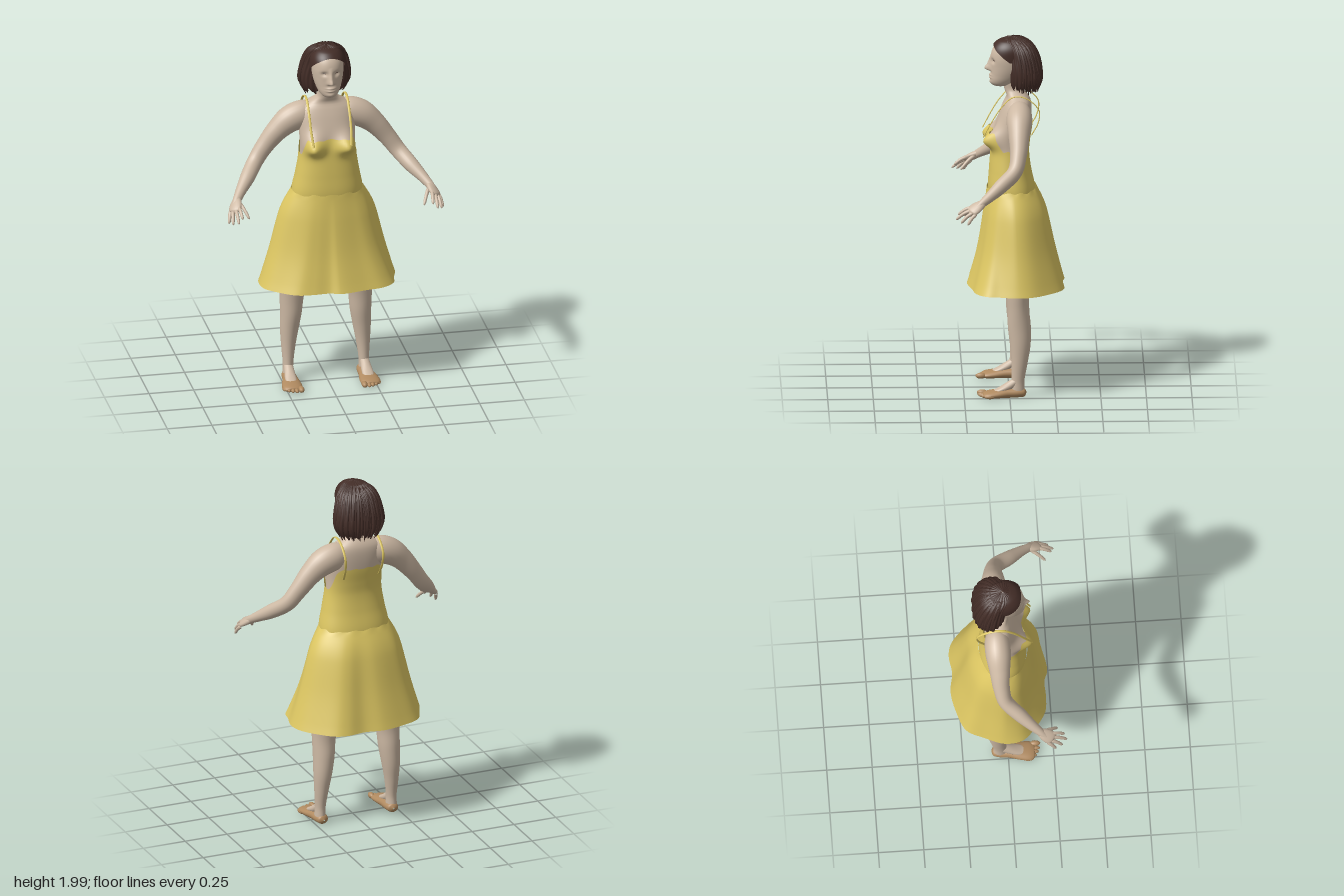
import * as THREE from 'three';

const mat = (name, color, side = THREE.FrontSide) => {
  const m = new THREE.MeshStandardMaterial({ color, side });
  m.name = name;
  return m;
};
const V = (x, y, z) => new THREE.Vector3(x, y, z);
const spow = (a, p) => Math.sign(a) * Math.abs(a) ** p;
const bell = (d, w) => Math.exp(-(d * d) / (w * w));
const step = THREE.MathUtils.smoothstep;
const mix = THREE.MathUtils.lerp;

// Smooth lookup in rows of [key, a, b, ...] with rising keys
function look(rows, k) {
  const n = rows.length - 1;
  let i = 0;
  while (i < n - 1 && k > rows[i + 1][0]) i++;
  const h = rows[i + 1][0] - rows[i][0];
  const t = THREE.MathUtils.clamp((k - rows[i][0]) / h, 0, 1);
  const slope = (j, c) => {
    const a = rows[Math.max(j - 1, 0)], b = rows[Math.min(j + 1, n)];
    return (b[c] - a[c]) / (b[0] - a[0]);
  };
  return rows[i].slice(1).map((p, c) => {
    const q = rows[i + 1][c + 1], t2 = t * t, t3 = t2 * t;
    return p * (2 * t3 - 3 * t2 + 1) + q * (3 * t2 - 2 * t3)
      + h * (slope(i, c + 1) * (t3 - 2 * t2 + t) + slope(i + 1, c + 1) * (t3 - t2));
  });
}

// Surface closed around u; P(u, v) gives a point, both from 0 to 1
function surface(P, nu, nv) {
  const pos = [], idx = [];
  for (let j = 0; j <= nv; j++) {
    for (let i = 0; i < nu; i++) pos.push(...P(i / nu, j / nv).toArray());
  }
  for (let j = 0; j < nv; j++) {
    for (let i = 0; i < nu; i++) {
      const a = j * nu + i, b = j * nu + (i + 1) % nu, c = a + nu, d = b + nu;
      idx.push(a, c, b, b, c, d);
    }
  }
  const g = new THREE.BufferGeometry();
  g.setAttribute('position', new THREE.Float32BufferAttribute(pos, 3));
  g.setIndex(idx);
  g.computeVertexNormals();
  return g;
}

// Tapered limb through rows of [x, y, z, radius along ref, other radius]
function limb(rows, ref, nu = 20, nv = 30, floor = -1) {
  const path = new THREE.CatmullRomCurve3(rows.map(r => V(r[0], r[1], r[2])));
  const size = new THREE.CatmullRomCurve3(rows.map((r, i) => V(r[3], r[4] ?? r[3], i)));
  return surface((u, v) => {
    const p = path.getPoint(v), T = path.getTangent(v), r = size.getPoint(v), a = u * 2 * Math.PI;
    const N = ref.clone().addScaledVector(T, -ref.dot(T)).normalize();
    const B = N.clone().cross(T);
    p.addScaledVector(N, Math.cos(a) * Math.max(r.x, 0)).addScaledVector(B, Math.sin(a) * Math.max(r.y, 0));
    p.y = Math.max(p.y, floor);
    return p;
  }, nu, nv);
}

// Rows of [y, half width, front z, back z]
const TORSO = [[0.86, 0.02, -0.01, -0.05], [0.9, 0.13, 0.05, -0.11], [1.0, 0.185, 0.085, -0.14],
  [1.14, 0.188, 0.105, -0.135], [1.25, 0.168, 0.1, -0.113], [1.35, 0.152, 0.092, -0.102],
  [1.42, 0.15, 0.085, -0.108], [1.5, 0.155, 0.07, -0.12], [1.58, 0.158, 0.045, -0.125],
  [1.63, 0.14, 0.025, -0.12], [1.66, 0.095, 0.012, -0.105], [1.69, 0.056, 0.022, -0.08],
  [1.74, 0.05, 0.035, -0.07], [1.78, 0.05, 0.035, -0.07]];
const HEAD = [[1.712, 0.008, 0.07, 0.02], [1.722, 0.038, 0.09, -0.02], [1.745, 0.058, 0.102, -0.05],
  [1.785, 0.074, 0.1, -0.08], [1.83, 0.084, 0.099, -0.1], [1.88, 0.088, 0.1, -0.11],
  [1.93, 0.082, 0.086, -0.105], [1.965, 0.058, 0.055, -0.075], [1.98, 0.028, 0.02, -0.04], [1.985, 0.002, -0.01, -0.014]];
const HAIR = [[1.69, 0.1, -0.02, -0.155], [1.74, 0.127, -0.005, -0.172], [1.8, 0.136, 0, -0.174],
  [1.88, 0.12, 0.005, -0.158], [1.94, 0.099, 0.015, -0.13], [1.975, 0.07, 0.03, -0.1],
  [1.99, 0.035, 0.015, -0.06], [1.996, 0.003, -0.015, -0.02]];
const NOSE = [[1.797, 0], [1.812, 0.035], [1.84, 0.021], [1.87, 0.007], [1.9, 0]];

function ring(rows, a, y, off, pw) {
  const [rx, zf, zb] = look(rows, y);
  return V((rx + off) * spow(Math.cos(a), pw), y, (zf + zb) / 2 + ((zf - zb) / 2 + off) * spow(Math.sin(a), pw));
}
function torsoAt(a, y, off = 0) {
  const p = ring(TORSO, a, y, off, 0.85);
  if (Math.sin(a) > 0) {
    const d = bell(Math.abs(p.x) - 0.092, 0.052) * bell(y - 1.425, y > 1.425 ? 0.06 : 0.042) * Math.sqrt(Math.sin(a));
    p.z += 0.066 * d;
    p.x += Math.sign(p.x) * 0.012 * d;
  }
  return p;
}
function headAt(a, y, off = 0) {
  const p = ring(HEAD, a, y, off, 0.95);
  if (Math.sin(a) > 0) {
    const x = Math.abs(p.x);
    if (y > 1.797 && y < 1.9) p.z += look(NOSE, y)[0] * bell(x, 0.009 + (1.9 - y) * 0.07);
    p.z -= 0.012 * bell(x - 0.034, 0.018) * bell(y - 1.862, 0.014);
    p.z += 0.009 * bell(x, 0.024) * (bell(y - 1.779, 0.006) + bell(y - 1.765, 0.006));
    p.z += 0.006 * bell(x, 0.025) * bell(y - 1.738, 0.012);
  }
  return p;
}

// Hem outline seen from above, [x, z]
const HEM = [[0.385, -0.04], [0.36, 0.06], [0.345, 0.13], [0.28, 0.185], [0.18, 0.205], [0.03, 0.232], [-0.03, 0.212],
  [-0.12, 0.215], [-0.21, 0.205], [-0.3, 0.145], [-0.37, 0.07], [-0.382, -0.03], [-0.34, -0.14], [-0.29, -0.235],
  [-0.18, -0.283], [-0.06, -0.306], [0.05, -0.29], [0.15, -0.302], [0.22, -0.285], [0.31, -0.205], [0.37, -0.12]];
const FLARE = [[0.605, 1], [0.65, 0.92], [0.8, 0.68], [1.0, 0.4], [1.07, 0.25], [1.15, 0]];

export function createModel() {
  const model = new THREE.Group();
  const skin = mat('skin', 0xcdb9a4), hair = mat('hair brown', 0x432d27, THREE.DoubleSide);
  const cloth = mat('dress yellow', 0xdcc662, THREE.DoubleSide), sole = mat('foot brown', 0xb08a60);
  const add = (name, geo, m, parent = model) => {
    const mesh = new THREE.Mesh(geo, m);
    mesh.name = name;
    parent.add(mesh);
    return mesh;
  };
  const X = V(1, 0, 0), Z = V(0, 0, 1), TAU = Math.PI * 2;

  // Body and head
  add('torso', surface((u, v) => torsoAt(u * TAU, mix(0.86, 1.78, v)), 64, 70), skin);
  add('head', surface((u, v) => headAt(u * TAU, mix(1.712, 1.985, v)), 96, 80), skin);

  // Dress: bodice with a low cut at the sides, then the flared skirt
  add('bodice', surface((u, v) => {
    const a = u * TAU, s = Math.sin(a);
    const top = 1.375 + (s > 0 ? 0.095 * step(s, 0.3, 0.72) : 0.135 * step(-s, 0.2, 0.8)) + 0.003 * Math.sin(a * 17);
    return torsoAt(a, mix(1.12, top, v), 0.009);
  }, 96, 36), cloth);
  const hem = new THREE.CatmullRomCurve3(HEM.map(([x, z]) => V(x, 0, z)), true);
  add('skirt', surface((u, v) => {
    const h = hem.getPoint(u), a = Math.atan2((h.z + 0.035) / 0.265, h.x / 0.385);
    const y = mix(0.605, 1.15, v), s = look(FLARE, y)[0];
    const f = s - 0.2 * Math.max(0, Math.sin(a)) * Math.sin(Math.PI * s);
    const top = v === 1 ? 0.004 * Math.sin(a * 13) : 0;
    return V(mix(0.201 * Math.cos(a), h.x, f), y + top, mix(-0.014 + 0.135 * Math.sin(a), h.z, f));
  }, 126, 32), cloth);

  for (const s of [1, -1]) {
    const side = s > 0 ? 'left' : 'right';
    const flip = rows => rows.map(([x, ...r]) => [x * s, ...r]);
    const group = name => {
      const g = new THREE.Group();
      g.name = side + name;
      model.add(g);
      return g;
    };

    // Shoulder strap standing off the back
    add(side + 'Strap', limb(flip([[0.105, 1.45, 0.142, 0.007, 0.003], [0.112, 1.53, 0.1, 0.007, 0.003],
      [0.113, 1.62, 0.042, 0.007, 0.003], [0.113, 1.675, -0.02, 0.007, 0.003], [0.113, 1.67, -0.09, 0.007, 0.003],
      [0.113, 1.6, -0.163, 0.007, 0.003], [0.11, 1.53, -0.158, 0.007, 0.003], [0.105, 1.46, -0.122, 0.007, 0.003]]),
    X, 8, 50), cloth);

    // Arm, palm and fingers
    const arm = group('Arm');
    add('arm', limb(flip([[0.07, 1.59, -0.055, 0.05, 0.06], [0.13, 1.578, -0.055, 0.068, 0.078], [0.2, 1.552, -0.053, 0.07, 0.076],
      [0.27, 1.495, -0.05, 0.058, 0.062], [0.345, 1.405, -0.045, 0.046, 0.05], [0.4, 1.33, -0.025, 0.041, 0.045],
      [0.46, 1.265, 0.05, 0.039, 0.041], [0.51, 1.217, 0.115, 0.029, 0.03], [0.54, 1.185, 0.16, 0.022, 0.024],
      [0.555, 1.165, 0.185, 0.018, 0.02]]), Z, 24, 60), skin, arm);
    add('palm', limb(flip([[0.53, 1.198, 0.14, 0.012, 0.01], [0.54, 1.185, 0.16, 0.026, 0.019],
      [0.553, 1.167, 0.19, 0.037, 0.018], [0.565, 1.148, 0.218, 0.034, 0.014], [0.57, 1.14, 0.228, 0.004, 0.003]]),
    V(-0.75 * s, 0.35, 0.55), 16, 20), skin, arm);
    const fingers = [[0.542, 1.166, 0.218, 0.533, 1.122, 0.29], [0.558, 1.152, 0.222, 0.557, 1.1, 0.302],
      [0.574, 1.141, 0.213, 0.584, 1.087, 0.275], [0.584, 1.135, 0.196, 0.6, 1.08, 0.238], [0.532, 1.178, 0.175, 0.489, 1.105, 0.255]];
    for (const [a, b, c, d, e, f] of fingers) {
      const at = (t, r) => [mix(a, d, t), mix(b, e, t) + 0.008 * Math.sin(t * 3.1), mix(c, f, t), r];
      add('finger', limb(flip([at(-0.1, 0.007), at(0.1, 0.0105), at(0.5, 0.0095), at(0.9, 0.0075), at(1, 0.001)]), X, 10, 12), skin, arm);
    }

    // Leg with instep
    const leg = group('Leg');
    add('leg', limb(flip([[0.09, 0.98, -0.03, 0.09, 0.09], [0.125, 0.85, -0.035, 0.098, 0.09], [0.155, 0.73, -0.04, 0.093, 0.08],
      [0.182, 0.6, -0.042, 0.08, 0.066], [0.191, 0.5, -0.046, 0.067, 0.06], [0.195, 0.4, -0.053, 0.06, 0.063],
      [0.203, 0.3, -0.058, 0.051, 0.057], [0.209, 0.2, -0.054, 0.039, 0.045], [0.212, 0.1, -0.045, 0.029, 0.036],
      [0.213, 0.04, -0.042, 0.03, 0.04]]), X, 24, 50), skin, leg);
    add('instep', limb(flip([[0.213, 0.1, -0.045, 0.024, 0.02], [0.214, 0.068, 0, 0.029, 0.024],
      [0.216, 0.042, 0.06, 0.032, 0.014], [0.217, 0.032, 0.1, 0.02, 0.006]]), X, 16, 16), skin, leg);

    // Brown foot and toes
    add('foot', limb(flip([[0.208, 0.028, -0.092, 0.004, 0.004], [0.209, 0.028, -0.08, 0.028, 0.024], [0.21, 0.028, -0.045, 0.038, 0.028],
      [0.212, 0.027, 0.01, 0.042, 0.029], [0.216, 0.022, 0.07, 0.053, 0.025], [0.218, 0.018, 0.12, 0.055, 0.02],
      [0.218, 0.016, 0.145, 0.038, 0.012], [0.218, 0.016, 0.148, 0.003, 0.002]]), X, 24, 36, 0.002), sole, leg);
    for (let i = 0; i < 5; i++) {
      const toe = add('toe', new THREE.SphereGeometry(1, 12, 10), sole, leg);
      const r = i ? 0.0115 : 0.0165;
      toe.scale.set(r, r, 0.03);
      toe.position.set(s * (i ? 0.182 + i * 0.0205 : 0.177), r + 0.003, 0.15 - i * i * 0.0025);
    }

    // Dark lash line over the eye
    add(side + 'Lashes', limb([-0.013, -0.005, 0.005, 0.013].map((d, i) => {
      const x = 0.034 + d, z = 0.098 * Math.sqrt(1 - (x / 0.088) ** 2) - 0.008;
      return [s * x, 1.861 + (i % 3 ? 0.003 : 0), z, 0.0022];
    }), V(0, 1, 0), 6, 10), hair);
  }

  // Hair: smooth front cap, full back, and hanging locks
  add('hairCap', surface((u, v) => {
    const a = u * TAU;
    return headAt(a, mix(1.86 + 0.085 * Math.max(0, Math.sin(a)), 1.985, v), 0.009).add(V(0, 0.005, 0));
  }, 64, 24), hair);
  const hairAt = (a, y, off = 0) => ring(HAIR, a, y, off + 0.003 * Math.sin(a * 23 + y * 15), 0.85);
  add('hairBack', surface((u, v) => {
    const a = u * TAU, low = 1.715 + 0.012 * Math.sin(a * 11) + 0.008 * Math.sin(a * 29);
    return hairAt(a, mix(low, 1.996, v));
  }, 120, 36), hair);
  let seed = 7;
  const rnd = () => (seed = (seed * 16807) % 2147483647) / 2147483647;
  const locks = new THREE.Group();
  locks.name = 'hairLocks';
  model.add(locks);
  for (let i = 0; i < 54; i++) {
    const a = Math.PI * (0.95 + 1.1 * i / 53), end = 1.685 + 0.035 * rnd(), sway = (rnd() - 0.5) * 0.2;
    const rows = [1.985, 1.94, 1.86, 1.77, end].map((y, k) => {
      const p = hairAt(a + sway * k / 4, Math.max(y, 1.69), 0.002);
      return [p.x, y, p.z, [0.003, 0.007, 0.009, 0.009, 0.002][k] * (0.8 + 0.4 * rnd())];
    });
    add('lock', limb(rows, X, 6, 14), hair, locks);
  }
  return model;
}
